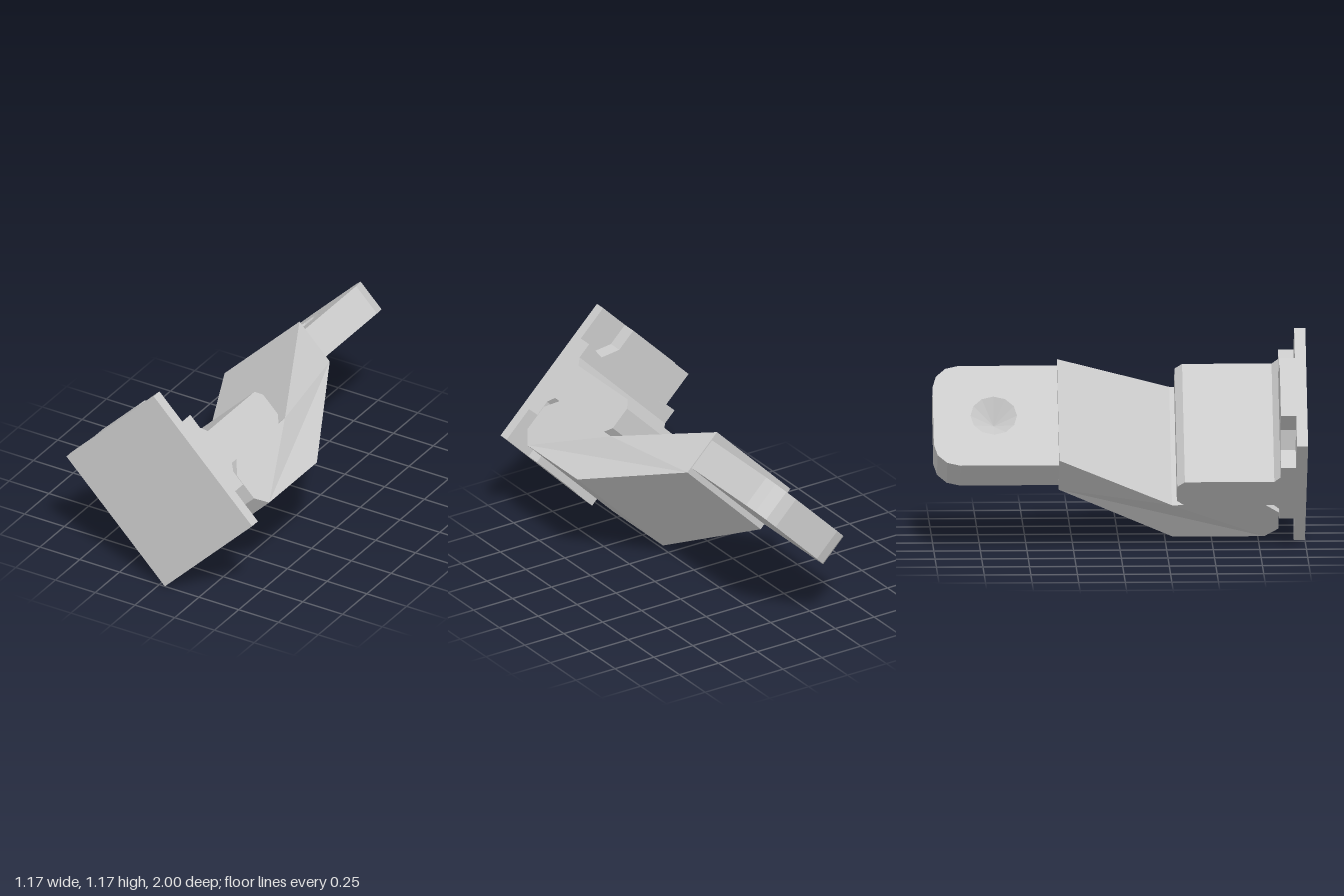
import * as THREE from 'three';

const mat = new THREE.MeshStandardMaterial({ color: 0xcccccc, flatShading: true });
const pitMat = new THREE.MeshStandardMaterial({ color: 0xcccccc, flatShading: true, side: THREE.DoubleSide });

const W = 0.438; // half size of the base across the arm (local x)
const H = 0.388; // half size of the base along the arm's width (local y)

function shapeOf(points) {
  return new THREE.Shape(points.map(([x, y]) => new THREE.Vector2(x, y)));
}

function extrude(shape, depth) {
  return new THREE.ExtrudeGeometry(shape, { depth, bevelEnabled: false, steps: 1, curveSegments: 12 });
}

// Side profile given as [x, z], extruded over the full local height
function profileAlongY(points) {
  return extrude(shapeOf(points.map(([x, z]) => [x, -z])), 2 * H)
    .rotateX(-Math.PI / 2)
    .translate(0, -H, 0);
}

// Outline of the end tab as [-z, y], with rounded far corners
function tabShape() {
  const h = 0.327, r = 0.14, near = 0.31, far = 1;
  const corner = [];
  for (let i = 0; i <= 3; i++) {
    const a = (i / 3) * Math.PI / 2;
    corner.push([far - r + r * Math.sin(a), h - r + r * Math.cos(a)]);
  }
  const lower = corner.map(([x, y]) => [x, -y]).reverse();
  return shapeOf([[near, -h], [near, h], ...corner, ...lower]);
}

export function createModel() {
  const model = new THREE.Group();
  model.name = 'bracket';

  // The whole bracket is turned 45 degrees about z, standing on a corner
  const body = new THREE.Group();
  body.name = 'turnedBody';
  body.rotation.z = -Math.PI / 4;
  body.position.y = (W + H) * Math.SQRT1_2;
  model.add(body);

  const add = (name, geometry, material = mat) => {
    const mesh = new THREE.Mesh(geometry, material);
    mesh.name = name;
    body.add(mesh);
    return mesh;
  };

  // Mounting plate
  add('basePlate', new THREE.BoxGeometry(2 * W, 2 * H, 0.06).translate(0, 0, 0.97));

  // Raised step with a pocket in each corner
  const q = [[W, 0.19], [0.31, 0.19], [0.22, 0.26], [0.235, H]];
  const mirrorX = q.map(([x, y]) => [-x, y]).reverse();
  const half = [...q, ...mirrorX];
  const flange = shapeOf([...half, ...half.map(([x, y]) => [-x, -y])]);
  add('steppedFlange', extrude(flange, 0.085).translate(0, 0, 0.858));

  // Block with a flared root and chamfered end
  add('block', profileAlongY([
    [-0.15, 0.86], [0.15, 0.86], [0.107, 0.825], [0.107, 0.345],
    [0.065, 0.305], [-0.065, 0.305], [-0.107, 0.345], [-0.107, 0.825],
  ]));

  // Cranked arm, narrowing towards its far end
  const arm = profileAlongY([
    [0.18, 0.855], [0.33, 0.855], [0.4, 0.78], [0.4, 0.29],
    [0.033, -0.33], [-0.236, -0.33], [0.107, 0.28], [0.107, 0.78],
  ]);
  const p = arm.attributes.position;
  for (let i = 0; i < p.count; i++) {
    if (p.getZ(i) < -0.3) p.setY(i, p.getY(i) * 0.333 / H);
  }
  arm.computeVertexNormals();
  add('crankedArm', arm);

  // End tab: solid outer layer and pierced inner layer with a conical pit
  const depth = 0.1, inner = -0.185;
  add('tabOuterLayer', extrude(tabShape(), -inner - depth).rotateY(Math.PI / 2).translate(inner + depth, 0, 0));
  const pierced = tabShape();
  const hole = new THREE.Path();
  hole.absarc(0.675, 0, 0.125, 0, Math.PI * 2, true);
  pierced.holes.push(hole);
  // coarse segments keep the rim matched to the cone
  const layer = new THREE.ExtrudeGeometry(pierced, { depth, bevelEnabled: false, curveSegments: 6 });
  add('tabInnerLayer', layer.rotateY(Math.PI / 2).translate(inner, 0, 0));
  const pit = new THREE.ConeGeometry(0.125, depth, 12, 1, true)
    .rotateZ(-Math.PI / 2)
    .translate(inner + depth / 2, 0, -0.675);
  add('conicalPit', pit, pitMat);

  return model;
}
